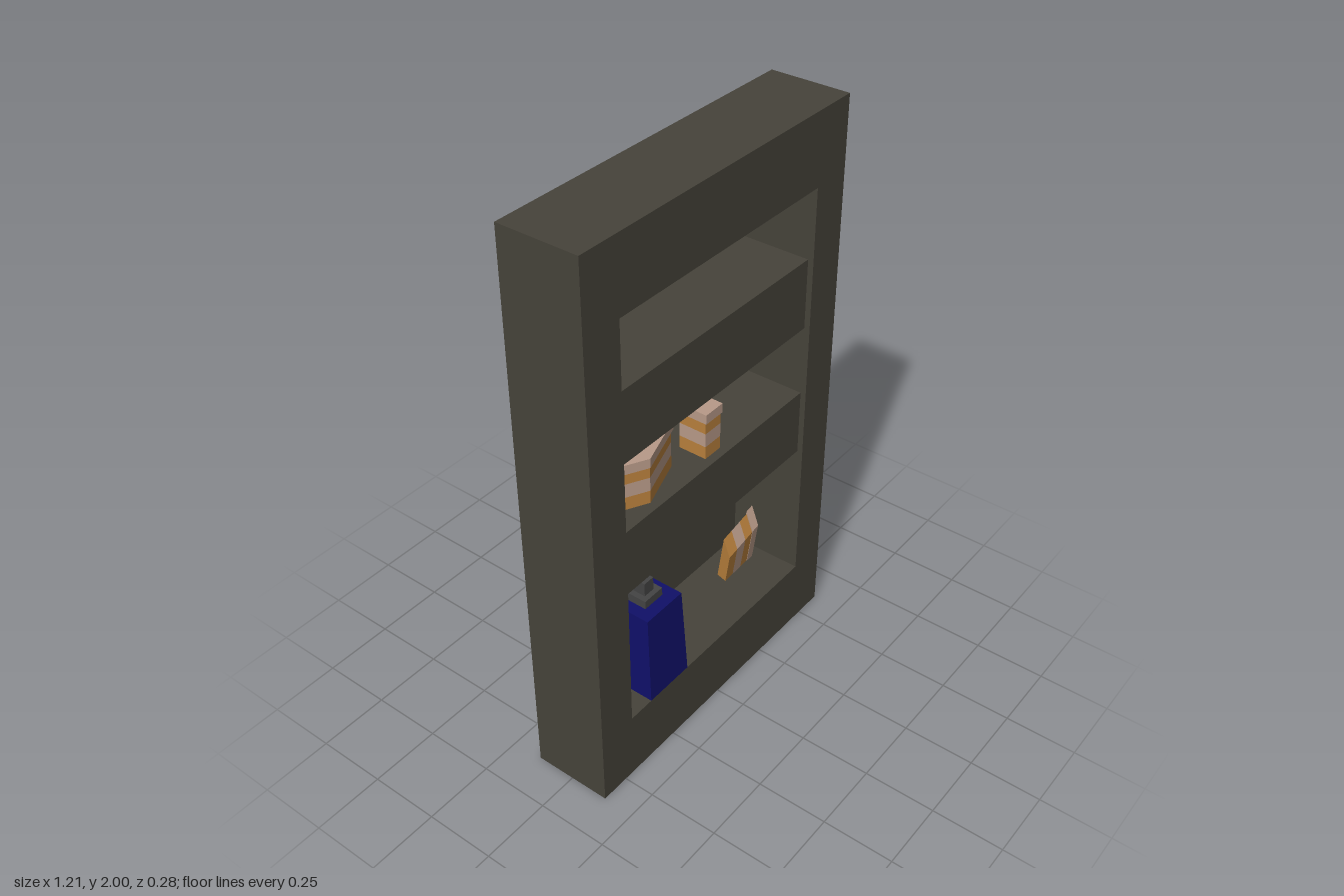
import * as THREE from 'three';

const V = (x, y, z) => new THREE.Vector3(x, y, z);
const mat = (color) => new THREE.MeshStandardMaterial({ color, flatShading: true });
const wood = mat(0x46433a), blue = mat(0x101068), steel = mat(0x444444);
const orange = mat(0xb8803c), pale = mat(0xb89a88);

function add(parent, name, geometry, material) {
  const mesh = new THREE.Mesh(geometry, material);
  mesh.name = name;
  parent.add(mesh);
  return mesh;
}

// Box given by its extents along each axis
function block(parent, name, material, [x0, x1], [y0, y1], [z0, z1]) {
  const g = new THREE.BoxGeometry(x1 - x0, y1 - y0, z1 - z0);
  g.translate((x0 + x1) / 2, (y0 + y1) / 2, (z0 + z1) / 2);
  return add(parent, name, g, material);
}

// Skewed container: banded along its axis from the base centre, with a wider lid
function container(parent, name, base, across, axis, depth) {
  const group = new THREE.Group();
  group.name = name;
  const bands = [
    ['lowerBand', 0, 0.27, 1, orange],
    ['label', 0.27, 0.56, 1, pale],
    ['upperBand', 0.56, 0.8, 1, orange],
    ['lid', 0.8, 1, 1.09, pale],
  ];
  for (const [part, t0, t1, grow, material] of bands) {
    const g = new THREE.BoxGeometry(grow, t1 - t0, grow);
    g.translate(0, (t0 + t1) / 2, 0);
    g.applyMatrix4(new THREE.Matrix4().makeBasis(across, axis, depth).setPosition(base));
    add(group, part, g, material);
  }
  parent.add(group);
}

export function createModel() {
  const model = new THREE.Group();
  model.name = 'cabinet';

  // Frame with a rectangular opening, closed by a thin back panel
  const rect = (S, w, y0, y1) => new S([[-w, y0], [w, y0], [w, y1], [-w, y1]].map(([x, y]) => new THREE.Vector2(x, y)));
  const outline = rect(THREE.Shape, 0.605, 0, 2);
  outline.holes.push(rect(THREE.Path, 0.46, 0.25, 1.75));
  const frame = new THREE.ExtrudeGeometry(outline, { depth: 0.27, bevelEnabled: false });
  add(model, 'frame', frame.translate(0, 0, -0.13), wood);
  block(model, 'backPanel', wood, [-0.605, 0.605], [0, 2], [-0.14, -0.13]);

  // Thick shelves, set back slightly from the front
  for (const [y0, y1] of [[0.76, 1], [1.25, 1.5]]) {
    block(model, 'shelf', wood, [-0.46, 0.46], [y0, y1], [-0.13, 0.12]);
  }

  // Tapered bottle with a stepped cap
  const bottle = new THREE.Group();
  bottle.name = 'bottle';
  model.add(bottle);
  const body = new THREE.BoxGeometry(0.19, 0.33, 0.21);
  const p = body.attributes.position;
  for (let i = 0; i < p.count; i++) {
    if (p.getY(i) > 0) p.setXYZ(i, p.getX(i) * 0.9, p.getY(i), p.getZ(i) * 0.84);
  }
  body.computeVertexNormals();
  add(bottle, 'bottleBody', body.translate(-0.267, 0.415, 0.035), blue);
  block(bottle, 'bottleCollar', steel, [-0.31, -0.225], [0.58, 0.61], [-0.01, 0.08]);
  block(bottle, 'bottleCap', steel, [-0.29, -0.247], [0.61, 0.66], [0.005, 0.062]);

  // Two containers on the middle shelf and one lying on the floor
  container(model, 'wideContainer', V(-0.265, 1.02, 0.05), V(0.175, 0, -0.06), V(0, 0.168, 0), V(0.095, 0, 0.05));
  container(model, 'narrowContainer', V(0, 1.02, 0.055), V(0.075, 0, 0), V(0, 0.168, 0), V(0, 0, 0.1));
  container(model, 'fallenContainer', V(0.245, 0.315, -0.022), V(-0.015, 0.19, 0.035), V(0.165, 0.035, 0), V(0.005, 0.065, -0.03));

  return model;
}
